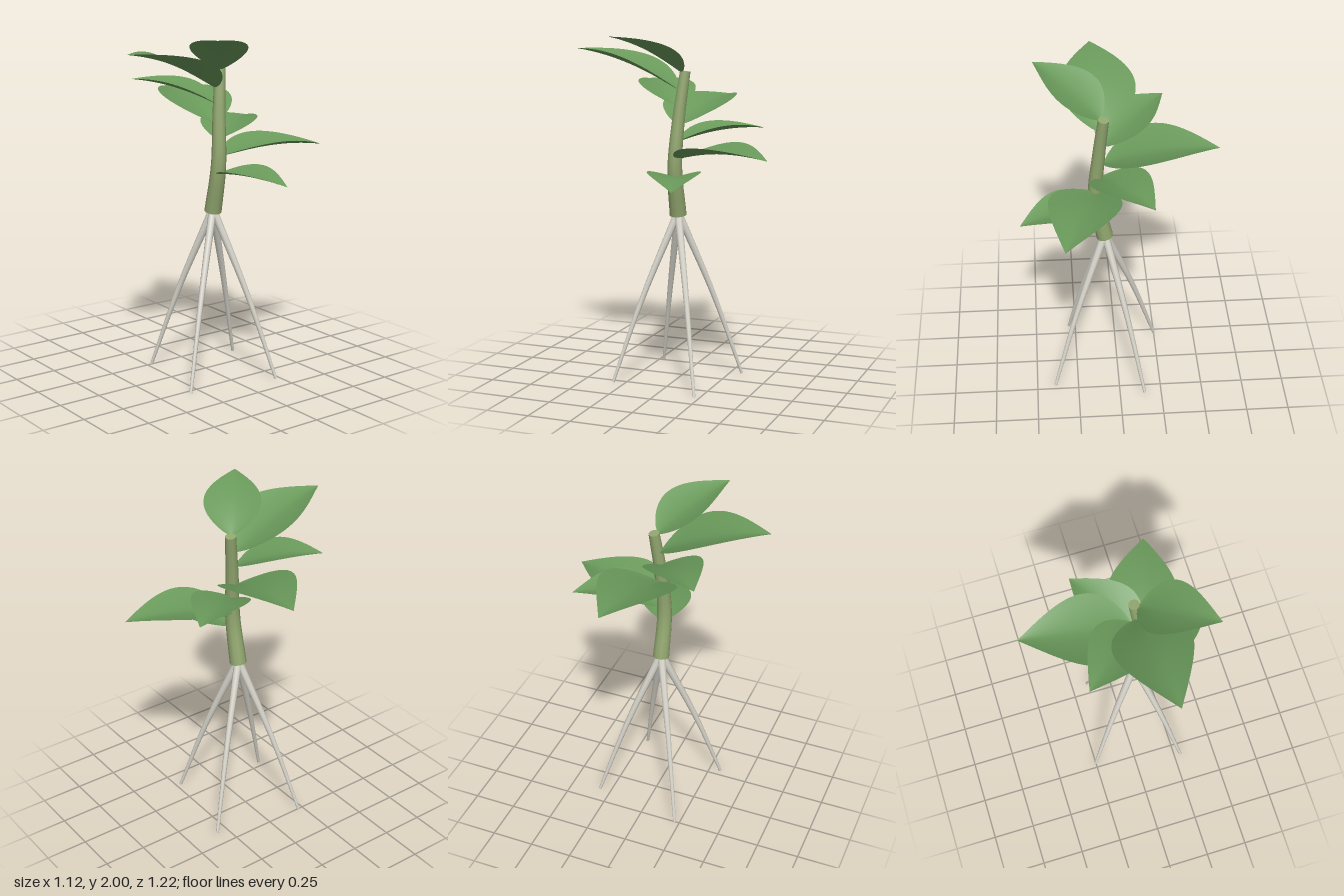
import * as THREE from 'three';
import { mergeGeometries } from 'three/addons/utils/BufferGeometryUtils.js';

const V = (x, y, z) => new THREE.Vector3(x, y, z);

// Capped tube along points, tapering from r0 to r1
function taperedTube(points, r0, r1, steps, sides) {
  const curve = new THREE.CatmullRomCurve3(points);
  const tube = new THREE.TubeGeometry(curve, steps, 1, sides);
  const pos = tube.attributes.position, p = V();
  for (let i = 0; i < pos.count; i++) {
    const t = Math.floor(i / (sides + 1)) / steps;
    const c = curve.getPointAt(t);
    p.fromBufferAttribute(pos, i).sub(c).multiplyScalar(r0 + (r1 - r0) * t).add(c);
    pos.setXYZ(i, p.x, p.y, p.z);
  }
  const caps = [0, 1].map((t) => {
    const dir = curve.getTangentAt(t).multiplyScalar(t ? 1 : -1);
    const cap = new THREE.CircleGeometry(t ? r1 : r0, sides);
    cap.applyQuaternion(new THREE.Quaternion().setFromUnitVectors(V(0, 0, 1), dir));
    const c = curve.getPointAt(t);
    return cap.translate(c.x, c.y, c.z);
  });
  return mergeGeometries([tube, ...caps]);
}

// Cupped, arched, pointed blade from base to tip
function leafBlade(base, tip) {
  const along = tip.clone().sub(base);
  const length = along.length();
  const side = V(0, 1, 0).cross(along).normalize();
  const up = along.clone().cross(side).normalize();
  const geo = new THREE.PlaneGeometry(1, 1, 12, 24);
  const pos = geo.attributes.position;
  for (let i = 0; i < pos.count; i++) {
    const u = pos.getX(i) * 2;
    const t = THREE.MathUtils.clamp(0.5 - pos.getY(i), 0, 1);
    const half = 0.32 * length * Math.max(0, Math.sin(Math.PI * Math.pow(t, 0.75)));
    const lift = 0.25 * half * Math.pow(Math.abs(u), 1.5) + 0.22 * length * t * (1 - t);
    const p = base.clone().addScaledVector(along, t)
      .addScaledVector(side, u * half).addScaledVector(up, lift);
    pos.setXYZ(i, p.x, p.y, p.z);
  }
  geo.computeVertexNormals();
  return geo;
}

export function createModel() {
  const model = new THREE.Group();
  const mat = (name, color, side = THREE.FrontSide) => {
    const m = new THREE.MeshStandardMaterial({ color, side });
    m.name = name;
    return m;
  };
  const leafGreen = mat('leaf green', 0x6a9a5b, THREE.DoubleSide);
  const stemGreen = mat('stem green', 0x93a870);
  const rootWhite = mat('root white', 0xd6d4ca);
  const add = (name, geo, material) => {
    const mesh = new THREE.Mesh(geo, material);
    mesh.name = name;
    model.add(mesh);
  };

  // Bent stem
  add('stem', taperedTube([
    V(0.07, 0.975, 0), V(0.122, 1.25, 0), V(0.102, 1.55, -0.018), V(0.075, 1.8, -0.046),
  ], 0.05, 0.031, 16, 10), stemGreen);

  // Four splayed roots, a quarter turn apart
  for (let i = 0; i < 4; i++) {
    const out = V(0.32, 0, -0.22).applyAxisAngle(V(0, 1, 0), i * Math.PI / 2);
    const at = (k, y) => V(0.07 + out.x * k, y, out.z * k);
    add('root' + (i + 1), taperedTube([at(0, 0.99), at(0.54, 0.5), at(1, 0.003)], 0.024, 0.009, 12, 8), rootWhite);
  }

  // Spiral of leaves, bottom to top: base point, tip point
  const leaves = [
    [0.11, 1.20, 0.00, 0.555, 1.18, -0.15],
    [0.11, 1.30, -0.01, 0.31, 1.34, -0.61],
    [0.10, 1.40, -0.01, -0.18, 1.47, -0.435],
    [0.08, 1.49, -0.01, -0.56, 1.63, -0.10],
    [0.09, 1.60, -0.01, -0.28, 1.73, 0.325],
    [0.08, 1.69, -0.01, 0.12, 1.92, 0.61],
    [0.09, 1.79, -0.03, 0.45, 2.00, 0.257],
  ];
  leaves.forEach((l, i) => add('leaf' + (i + 1), leafBlade(V(l[0], l[1], l[2]), V(l[3], l[4], l[5])), leafGreen));
  return model;
}
